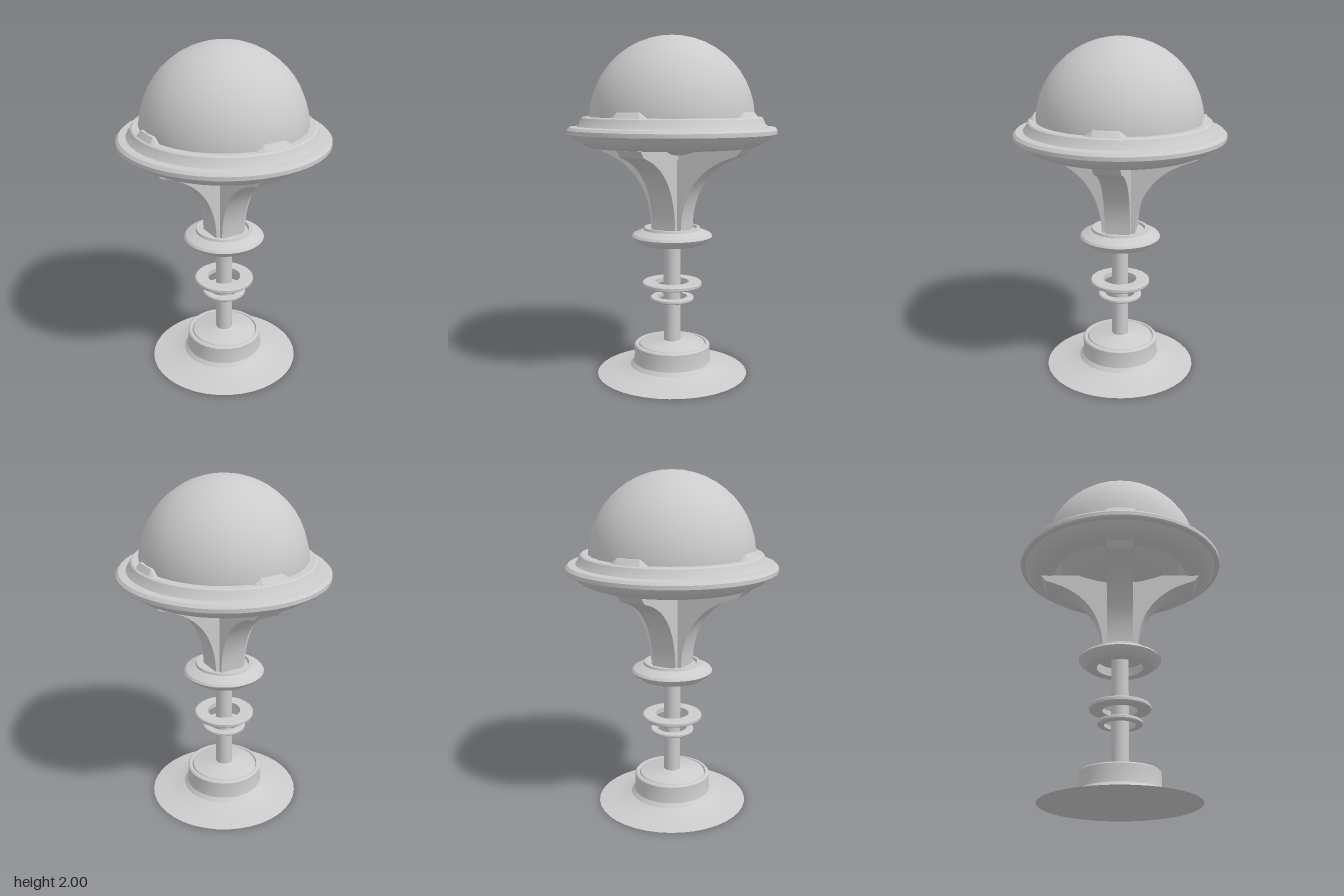
import * as THREE from 'three';
import { toCreasedNormals } from 'three/addons/utils/BufferGeometryUtils.js';

const material = new THREE.MeshStandardMaterial({ color: 0xcccccc });
const twoSided = new THREE.MeshStandardMaterial({ color: 0xcccccc, side: THREE.DoubleSide });

function add(parent, name, geometry, mat = material) {
  const mesh = new THREE.Mesh(geometry, mat);
  mesh.name = name;
  parent.add(mesh);
  return mesh;
}

// Turned part; the profile [radius, y] runs upward along the outside
function turned(profile, segments = 40, start = 0, length = Math.PI * 2) {
  const points = profile.map(([r, y]) => new THREE.Vector2(r, y));
  return new THREE.LatheGeometry(points, segments, start, length);
}
const creased = (geometry, angle = 0.45) => toCreasedNormals(geometry, angle);

// Flat ring with a rectangular section and softened outer edges
function washer(inner, outer, bottom, top) {
  const b = 0.006;
  return creased(turned([
    [inner, bottom], [outer - b, bottom], [outer, bottom + b], [outer, top - b],
    [outer - b, top], [inner, top], [inner, bottom],
  ]));
}

export function createModel() {
  const model = new THREE.Group();
  model.name = 'domedPedestal';

  // Flared foot with drum and shallow lid
  add(model, 'base', creased(turned([
    [0, 0], [0.45, 0], [0.36, 0.016], [0.285, 0.033], [0.25, 0.048], [0.232, 0.07],
    [0.227, 0.1], [0.227, 0.17], [0.218, 0.178], [0.205, 0.178], [0.2, 0.168],
    [0.194, 0.178], [0.185, 0.183], [0.07, 0.19], [0.055, 0.198], [0, 0.198],
  ])));

  add(model, 'pole', creased(new THREE.CylinderGeometry(0.05, 0.05, 0.72, 24).translate(0, 0.54, 0)));

  // Two loose rings around the pole
  add(model, 'lowerRing', washer(0.09, 0.13, 0.443, 0.467));
  add(model, 'upperRing', washer(0.1, 0.178, 0.53, 0.558));

  // Collar, hollow underneath, with a raised lip on top
  add(model, 'collar', creased(turned([
    [0, 0.84], [0.13, 0.84], [0.135, 0.79], [0.19, 0.79], [0.225, 0.815], [0.24, 0.835],
    [0.23, 0.848], [0.17, 0.874], [0.165, 0.888], [0.15, 0.888], [0.143, 0.872], [0, 0.872],
  ])));

  // Four curved brackets in a cross
  const profile = new THREE.Shape();
  profile.moveTo(0, 0.865);
  profile.lineTo(0.098, 0.865);
  profile.bezierCurveTo(0.1, 1.1, 0.21, 1.26, 0.445, 1.325);
  profile.lineTo(0.476, 1.363);
  profile.lineTo(0, 1.363);
  const bracket = creased(new THREE.ExtrudeGeometry(profile, {
    depth: 0.15, bevelEnabled: false, curveSegments: 14,
  }).translate(0, 0, -0.075));
  const brackets = new THREE.Group();
  brackets.name = 'brackets';
  model.add(brackets);
  for (let i = 0; i < 4; i++) {
    add(brackets, 'bracket', bracket).rotation.y = i * Math.PI / 2;
  }

  // Shallow bowl and its boss
  add(model, 'bowl', turned([
    [0, 1.308], [0.08, 1.312], [0.16, 1.326], [0.25, 1.358], [0.32, 1.395], [0.38, 1.44],
  ]), twoSided);
  add(model, 'boss', creased(new THREE.CylinderGeometry(0.112, 0.112, 0.05, 24).translate(0, 1.315, 0)));

  // Wide stepped rim
  add(model, 'rim', creased(turned([
    [0.36, 1.43], [0.4, 1.375], [0.425, 1.36], [0.485, 1.364], [0.53, 1.383], [0.565, 1.41],
    [0.58, 1.428], [0.603, 1.432], [0.61, 1.44], [0.61, 1.462], [0.595, 1.478], [0.552, 1.482],
    [0.54, 1.497], [0.525, 1.53], [0.515, 1.536], [0.47, 1.536], [0.46, 1.5], [0.36, 1.43],
  ], 48), 0.4));

  // Four raised tabs on the rim, sloping down at both ends
  const half = 0.235;
  const tabGeometry = turned([[0.54, 1.497], [0.49, 1.567], [0.465, 1.567]], 10, -half, half * 2);
  const pos = tabGeometry.attributes.position;
  for (let i = 0; i < pos.count; i++) {
    const angle = Math.abs(Math.atan2(pos.getX(i), pos.getZ(i)));
    const lift = THREE.MathUtils.clamp((half - angle) / 0.09, 0, 1);
    if (pos.getY(i) > 1.536) pos.setY(i, 1.534 + 0.033 * lift);
  }
  const tab = creased(tabGeometry, 0.3);
  const tabs = new THREE.Group();
  tabs.name = 'tabs';
  model.add(tabs);
  for (let i = 0; i < 4; i++) {
    add(tabs, 'tab', tab, twoSided).rotation.y = i * Math.PI / 2;
  }

  // Dome, running slightly below the rim's lip
  add(model, 'dome', new THREE.SphereGeometry(0.48, 28, 12, 0, Math.PI * 2, 0, Math.PI * 0.52)
    .translate(0, 1.52, 0));

  return model;
}
